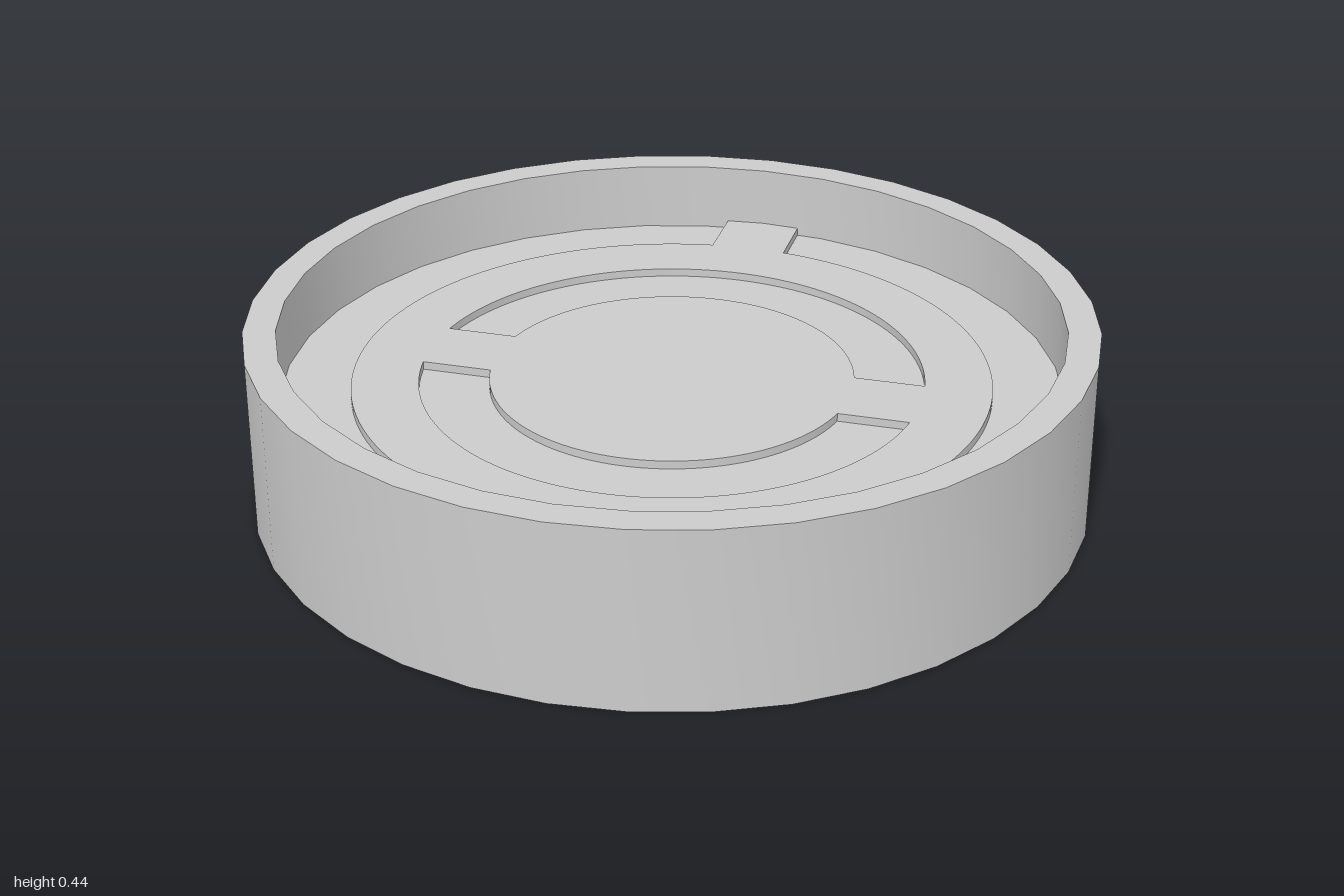
import * as THREE from 'three';
import { toCreasedNormals } from 'three/addons/utils/BufferGeometryUtils.js';

const HEIGHT = 0.44;
const MID = HEIGHT / 2;
const OUTER = 1, INNER = 0.923; // rim radii
const PLATE_R = 0.757;          // raised plate
const SLOT_OUT = 0.598, SLOT_IN = 0.432;
const HALF = 0.095;             // half width of tabs and of the bridge between slots

export function createModel() {
  const group = new THREE.Group();
  const material = new THREE.MeshStandardMaterial({ color: 0xcccccc });
  const add = (name, geometry, y) => {
    const mesh = new THREE.Mesh(toCreasedNormals(geometry, 0.6), material);
    mesh.name = name;
    mesh.position.y = y;
    group.add(mesh);
  };

  // Outer rim: closed rectangular section turned about y
  const section = [[INNER, 0], [OUTER, 0], [OUTER, HEIGHT], [INNER, HEIGHT], [INNER, 0]];
  add('rim', new THREE.LatheGeometry(section.map(([r, y]) => new THREE.Vector2(r, y)), 36), 0);

  // Thin web whose faces are the floors of the groove and the slots
  add('web', new THREE.CylinderGeometry(INNER, INNER, 0.1, 72), MID);

  // Raised plate, proud of the web on both sides, with a tab at front and back
  const plate = new THREE.Shape();
  const a = Math.asin(HALF / PLATE_R), b = Math.asin(HALF / INNER);
  for (const mid of [0, Math.PI]) {
    const tab = mid + Math.PI / 2;
    plate.absarc(0, 0, PLATE_R, tab - Math.PI + a, tab - a, false);
    plate.absarc(0, 0, INNER, tab - b, tab + b, false);
  }

  // Two arc-shaped slots with parallel ends
  const o = Math.asin(HALF / SLOT_OUT), i = Math.asin(HALF / SLOT_IN);
  for (const start of [0, Math.PI]) {
    const slot = new THREE.Path();
    slot.absarc(0, 0, SLOT_OUT, start + o, start + Math.PI - o, false);
    slot.absarc(0, 0, SLOT_IN, start + Math.PI - i, start + i, true);
    slot.closePath();
    plate.holes.push(slot);
  }

  const depth = 0.14;
  const plateGeometry = new THREE.ExtrudeGeometry(plate, { depth, bevelEnabled: false, curveSegments: 36 });
  plateGeometry.rotateX(-Math.PI / 2);
  add('slottedPlate', plateGeometry, MID - depth / 2);

  return group;
}
